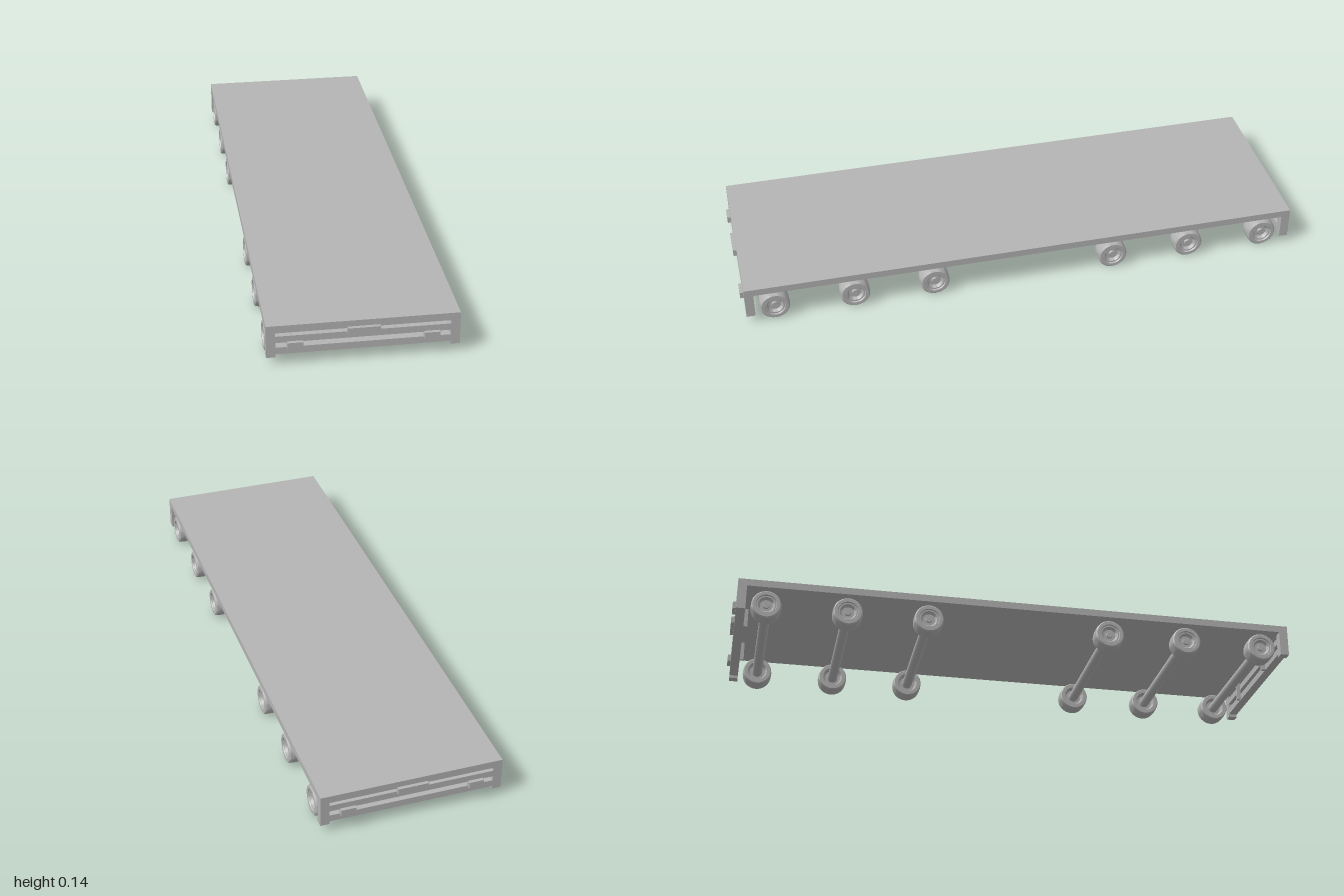
import * as THREE from 'three';
import { toCreasedNormals } from 'three/addons/utils/BufferGeometryUtils.js';

export function createModel() {
  const model = new THREE.Group();
  model.name = 'flatbedTrailer';
  const grey = new THREE.MeshStandardMaterial({ color: 0xb4b4b4 });
  grey.name = 'plain grey';

  const add = (parent, name, geometry, x = 0, y = 0, z = 0) => {
    const mesh = new THREE.Mesh(geometry, grey);
    mesh.name = name;
    mesh.position.set(x, y, z);
    parent.add(mesh);
    return mesh;
  };
  // Box given by its limits on each axis
  const box = (parent, name, x0, x1, y0, y1, z0, z1) =>
    add(parent, name, new THREE.BoxGeometry(x1 - x0, y1 - y0, z1 - z0),
      (x0 + x1) / 2, (y0 + y1) / 2, (z0 + z1) / 2);

  // Flat load bed
  box(model, 'deck', -0.31, 0.31, 0.118, 0.143, -0.957, 0.957);

  // Slotted end frame with two short feet
  const outline = new THREE.Shape([
    [-0.31, 0.03], [-0.28, 0.03], [-0.28, 0.041], [0.28, 0.041],
    [0.28, 0.03], [0.31, 0.03], [0.31, 0.143], [-0.31, 0.143],
  ].map(([x, y]) => new THREE.Vector2(x, y)));
  for (const [y0, y1] of [[0.105, 0.117], [0.065, 0.082]]) {
    outline.holes.push(new THREE.Path([
      [-0.28, y0], [-0.28, y1], [0.28, y1], [0.28, y0],
    ].map(([x, y]) => new THREE.Vector2(x, y))));
  }
  const frameGeometry = new THREE.ExtrudeGeometry(outline, { depth: 0.031, bevelEnabled: false });

  for (const end of [1, -1]) {
    const group = new THREE.Group();
    group.name = end > 0 ? 'frontEnd' : 'backEnd';
    if (end < 0) group.rotation.y = Math.PI;
    add(group, 'endFrame', frameGeometry, 0, 0, 0.957);
    box(group, 'centrePlate', -0.052, 0.052, 0.098, 0.122, 0.98, 1);
    for (const s of [-1, 1]) {
      box(group, 'lamp', s * 0.2185 - 0.0255, s * 0.2185 + 0.0255, 0.061, 0.085, 0.98, 1);
      box(group, 'bracket', s * 0.14 - 0.0055, s * 0.14 + 0.0055, 0.042, 0.11, 0.943, 0.957);
    }
    model.add(group);
  }

  // Wheel: crowned tread, stepped outer rim and hub, dished inner face
  const wheelProfile = [
    [0.001, -0.012], [0.028, -0.012], [0.035, -0.029], [0.048, -0.029],
    [0.051, -0.026], [0.0525, -0.01], [0.0525, 0.01], [0.051, 0.025],
    [0.047, 0.029], [0.036, 0.029], [0.034, 0.024], [0.029, 0.024],
    [0.022, 0.014], [0.012, 0.014], [0.01, 0.019], [0, 0.019],
  ].map(([r, h]) => new THREE.Vector2(r, h));
  const wheelGeometry = toCreasedNormals(new THREE.LatheGeometry(wheelProfile, 32), 0.5);
  const axleGeometry = new THREE.CylinderGeometry(0.018, 0.018, 0.54, 24);

  for (const z of [0.887, 0.607, 0.324, -0.324, -0.607, -0.887]) {
    const wheelset = new THREE.Group();
    wheelset.name = 'wheelset';
    wheelset.position.set(0, 0.0545, z);
    add(wheelset, 'axle', axleGeometry).rotation.z = Math.PI / 2;
    for (const s of [-1, 1]) {
      add(wheelset, s > 0 ? 'leftWheel' : 'rightWheel', wheelGeometry, s * 0.279)
        .rotation.z = -s * Math.PI / 2;
    }
    model.add(wheelset);
  }
  return model;
}
